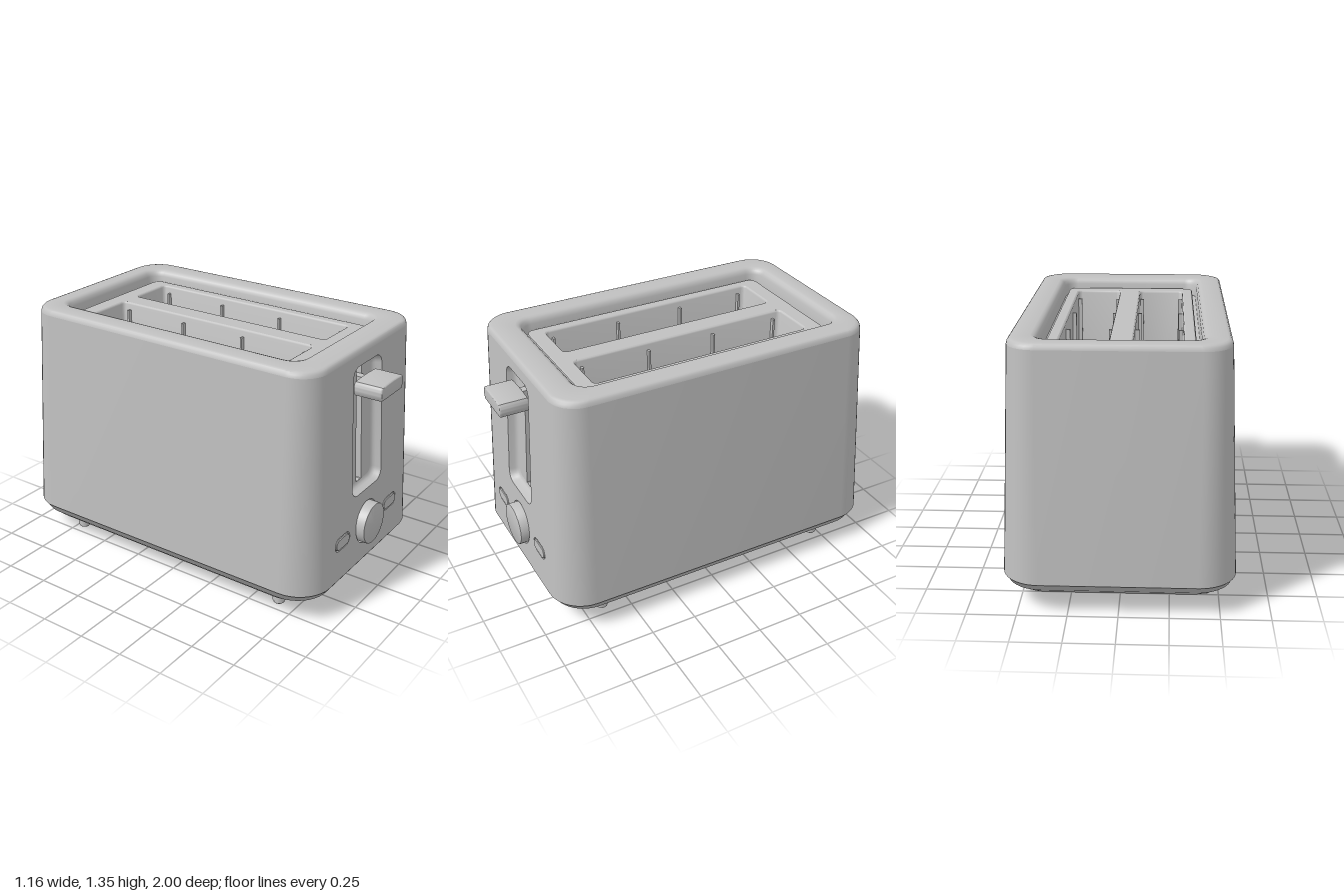
import * as THREE from 'three';
import { toCreasedNormals } from 'three/addons/utils/BufferGeometryUtils.js';

const grey = new THREE.MeshStandardMaterial({ color: 0xc0c0c0 });
grey.name = 'light grey';

// Rounded rectangle, counter-clockwise, starting at the lower right corner
function roundRect(hx, hy, r, cx = 0, cy = 0, n = 10) {
  const pts = [];
  [[1, -1], [1, 1], [-1, 1], [-1, -1]].forEach(([sx, sy], k) => {
    for (let i = 0; i <= n; i++) {
      const a = (k - 1 + i / n) * Math.PI / 2;
      pts.push([cx + sx * (hx - r) + r * Math.cos(a), cy + sy * (hy - r) + r * Math.sin(a)]);
    }
  });
  return pts;
}

// Skin through a list of rings of [x, y, z] points
function loft(rings, closed = true) {
  const n = rings[0].length, index = [];
  for (let i = 0; i < rings.length - 1; i++) {
    for (let j = 0; j < (closed ? n : n - 1); j++) {
      const a = i * n + j, b = i * n + (j + 1) % n;
      index.push(a, b, b + n, a, b + n, a + n);
    }
  }
  const g = new THREE.BufferGeometry();
  g.setAttribute('position', new THREE.Float32BufferAttribute(rings.flat(2), 3));
  g.setIndex(index);
  return toCreasedNormals(g, 0.6);
}

// Filled outline with holes, placed in space by map(u, v)
function sheet(outline, holes, map) {
  const toVecs = (pts) => pts.map(([u, v]) => new THREE.Vector2(u, v));
  const shape = new THREE.Shape(toVecs(outline));
  shape.holes = holes.map((h) => new THREE.Path(toVecs(h)));
  const g = new THREE.ShapeGeometry(shape);
  const p = g.attributes.position;
  for (let i = 0; i < p.count; i++) p.setXYZ(i, ...map(p.getX(i), p.getY(i)));
  g.computeVertexNormals();
  return g;
}

// The front wall leans back as it rises
const frontZ = (y) => 0.92 - (y - 0.165) * 0.065 / 1.155;
const onFront = (d) => (x, y) => [x, y, frontZ(y) - d];
const level = (y) => (u, v) => [u, y, -v];
const place = (pts, map) => pts.map(([u, v]) => map(u, v));

// Plan outline of the body from half width, front z, back z and corner radius
const plan = (hx, zf, zb, r) => roundRect(hx, (zf - zb) / 2, r, 0, -(zf + zb) / 2);
const planRings = (rows) => rows.map(([y, ...p]) => place(plan(...p), level(y)));

export function createModel() {
  const group = new THREE.Group();
  const add = (name, geometry, x = 0, y = 0, z = 0) => {
    const m = new THREE.Mesh(geometry, grey);
    m.name = name;
    m.position.set(x, y, z);
    group.add(m);
    return m;
  };

  // Underside and curved lower skirt
  const skirt = [
    [0.07, 0.49, 0.79, -0.87, 0.16],
    [0.09, 0.522, 0.84, -0.92, 0.17],
    [0.125, 0.56, 0.893, -0.97, 0.18],
    [0.16, 0.574, 0.914, -0.993, 0.188],
    [0.165, 0.58, 0.92, -1, 0.19],
  ];
  add('baseSkirt', loft(planRings(skirt)));
  add('underside', sheet(roundRect(0.49, 0.83, 0.16, 0, -0.04), [], (u, v) => [u, 0.07, v]));

  // Side and back walls, open where the front panel sits
  const wallTop = [1.32, 0.535, 0.855, -0.915, 0.145];
  add('shell', loft(planRings([skirt[4], wallTop]), false));

  // Top rim, rolled over into a groove and up to the slot panel
  const panelY = 1.295;
  const rim = [
    wallTop,
    [1.336, 0.531, 0.851, -0.911, 0.143],
    [1.346, 0.523, 0.843, -0.903, 0.14],
    [1.35, 0.51, 0.83, -0.89, 0.135],
    [1.35, 0.425, 0.725, -0.825, 0.1],
    [1.346, 0.41, 0.71, -0.81, 0.088],
    [1.335, 0.398, 0.698, -0.798, 0.078],
    [1.315, 0.39, 0.69, -0.79, 0.07],
    [1.255, 0.386, 0.686, -0.786, 0.066],
    [1.255, 0.368, 0.67, -0.755, 0.05],
    [1.285, 0.366, 0.668, -0.753, 0.048],
    [1.293, 0.362, 0.664, -0.749, 0.044],
    [panelY, 0.355, 0.657, -0.742, 0.04],
  ];
  add('topRim', loft(planRings(rim)));

  // Panel with two bread slots, each with guide wires
  const slot = (cx, grow) => roundRect(0.1225 + grow, 0.615 + grow, 0.02 + grow, cx, 0.04, 5);
  const slotXs = [0.1825, -0.1825];
  const floorY = 0.3;
  add('slotPanel', sheet(plan(0.355, 0.657, -0.742, 0.04), slotXs.map((x) => slot(x, 0.01)), level(panelY)));
  for (const x of slotXs) {
    const rows = [[panelY, 0.01], [panelY - 0.003, 0.004], [panelY - 0.01, 0], [floorY, 0]];
    add('breadSlot', loft(rows.map(([y, g]) => place(slot(x, g), level(y)))));
    add('slotFloor', sheet(slot(x, 0), [], level(floorY)));
    for (const z of [-0.61, -0.23, 0.155, 0.535]) {
      for (const s of [-1, 1]) {
        add('guideWire', new THREE.BoxGeometry(0.025, 0.95, 0.012), x + s * 0.114, 0.78, z);
      }
    }
  }

  // Front panel with openings for lever track, buttons and knob
  const track = (i) => roundRect(0.152 - i, 0.35 - i, 0.055 - i * 0.7, 0, 0.91, 6)
    .map(([x, y]) => [x * (1 - 0.1 * (y - 0.91)), y]);
  const pill = (x, i) => roundRect(0.075 - i, 0.037 - i, 0.0369 - i, x, 0.368, 8);
  const disc = (r) => roundRect(r, r, r * 0.999, 0, 0.368, 12);
  const buttonXs = [0.258, -0.258];
  const panel = [[-0.39, 0.165], [0.39, 0.165], [0.39, 1.32], [-0.39, 1.32]];
  add('frontPanel', sheet(panel, [track(0), disc(0.119), ...buttonXs.map((x) => pill(x, 0))], onFront(0)));

  // Sunken lever track with a narrow slit
  const trackRows = [[0, 0], [0.004, 0.012], [0.008, 0.03], [0.014, 0.041], [0.022, 0.047], [0.032, 0.05]];
  const slit = roundRect(0.027, 0.32, 0.003, 0, 0.91, 1);
  add('leverTrack', loft(trackRows.map(([i, d]) => place(track(i), onFront(d)))));
  add('trackFloor', sheet(track(0.032), [slit], onFront(0.05)));
  add('trackSlit', loft([0.05, 0.2].map((d) => place(slit, onFront(d)))));
  add('slitBack', sheet(slit, [], onFront(0.2)));

  // Pill buttons, each set in a fine groove
  for (const x of buttonXs) {
    const rows = [[0, 0], [0, 0.02], [0.006, 0.02], [0.006, 0], [0.01, -0.004]];
    add('button', loft(rows.map(([i, d]) => place(pill(x, i), onFront(d)))));
    add('buttonFace', sheet(pill(x, 0.01), [], onFront(-0.004)));
  }

  // Control knob in a round pocket
  add('knobPocket', loft([0, 0.03].map((d) => place(disc(0.119), onFront(d)))));
  add('knobPocketFloor', sheet(disc(0.119), [], onFront(0.03)));
  const knobProfile = [[0.113, 0], [0.113, 0.077], [0.111, 0.082], [0.106, 0.084], [0, 0.084]];
  const knob = new THREE.LatheGeometry(knobProfile.map((p) => new THREE.Vector2(...p)), 48);
  knob.rotateX(Math.PI / 2);
  add('knob', toCreasedNormals(knob, 0.6), 0, 0.368, 0.87);

  // Lever handle with bowed edges, on a stem through the slit
  const grip = new THREE.Shape();
  grip.moveTo(-0.1, -0.032);
  grip.quadraticCurveTo(0, -0.034, 0.1, -0.032);
  grip.quadraticCurveTo(0.12, 0, 0.1, 0.026);
  grip.quadraticCurveTo(0, 0.036, -0.1, 0.026);
  grip.quadraticCurveTo(-0.12, 0, -0.1, -0.032);
  const lever = new THREE.ExtrudeGeometry(grip, {
    depth: 0.14, bevelThickness: 0.007, bevelSize: 0.007, bevelSegments: 3, curveSegments: 10,
  });
  add('leverHandle', toCreasedNormals(lever, 0.6), 0, 1.151, 0.853);
  add('leverStem', new THREE.BoxGeometry(0.045, 0.05, 0.2), 0, 1.151, 0.78);

  // Four small feet with a stepped tip
  const footProfile = [[0, 0], [0.026, 0], [0.03, 0.004], [0.03, 0.012], [0.034, 0.014], [0.034, 0.08]];
  for (const x of [-0.43, 0.43]) {
    for (const z of [0.645, -0.715]) {
      const foot = new THREE.LatheGeometry(footProfile.map((p) => new THREE.Vector2(...p)), 24);
      add('foot', toCreasedNormals(foot, 0.6), x, 0, z);
    }
  }
  return group;
}
